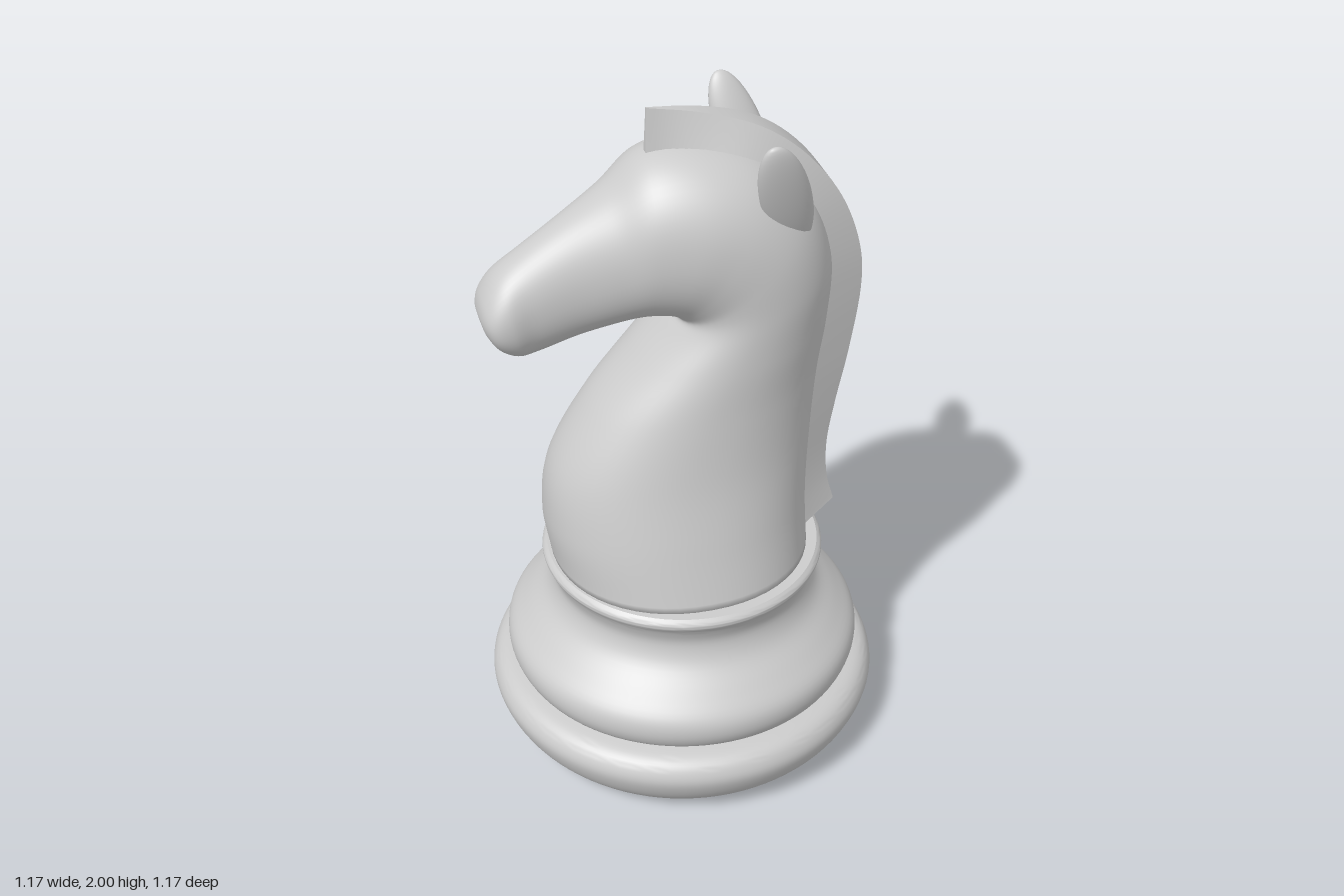
import * as THREE from 'three';
import { toCreasedNormals } from 'three/addons/utils/BufferGeometryUtils.js';

const material = new THREE.MeshStandardMaterial({ color: 0xcccccc });

function addMesh(parent, name, geometry) {
  const mesh = new THREE.Mesh(geometry, material);
  mesh.name = name;
  parent.add(mesh);
  return mesh;
}

// Skin a list of closed rings (arrays of Vector3) and close both ends.
function loft(rings) {
  const n = rings[0].length, positions = [], index = [];
  rings.forEach((ring) => ring.forEach((p) => positions.push(p.x, p.y, p.z)));
  for (let i = 0; i < rings.length - 1; i++) {
    for (let j = 0; j < n; j++) {
      const a = i * n + j, b = i * n + (j + 1) % n;
      index.push(a, a + n, b, b, a + n, b + n);
    }
  }
  [0, rings.length - 1].forEach((r) => {
    const c = new THREE.Vector3();
    rings[r].forEach((p) => c.addScaledVector(p, 1 / n));
    const k = positions.length / 3;
    positions.push(c.x, c.y, c.z);
    for (let j = 0; j < n; j++) {
      const a = r * n + j, b = r * n + (j + 1) % n;
      index.push(k, ...(r === 0 ? [a, b] : [b, a]));
    }
  });
  const g = new THREE.BufferGeometry();
  g.setAttribute('position', new THREE.Float32BufferAttribute(positions, 3));
  g.setIndex(index);
  g.computeVertexNormals();
  return g;
}

// Rows are [x1, y1, w1, x2, y2, w2]: two guide curves with half widths.
function guides(rows, steps) {
  const curve = (o) => new THREE.CatmullRomCurve3(
    rows.map((r) => new THREE.Vector3(r[o], r[o + 1], r[o + 2])), false, 'catmullrom', 0.5);
  const first = curve(0), second = curve(3);
  return Array.from({ length: steps + 1 }, (_, i) => [first.getPoint(i / steps), second.getPoint(i / steps)]);
}

// Turned tier: smooth profile with flat discs closing it.
function tier(points, steps = 28) {
  const spline = new THREE.SplineCurve(points.map(([x, y]) => new THREE.Vector2(x, y))).getPoints(steps);
  const profile = [new THREE.Vector2(0, points[0][1]), ...spline, new THREE.Vector2(0, points.at(-1)[1])];
  return toCreasedNormals(new THREE.LatheGeometry(profile, 96), 0.6);
}

export function createModel() {
  const model = new THREE.Group();
  model.name = 'chessKnight';

  // Turned base
  addMesh(model, 'foot', tier([
    [0.44, 0], [0.5, 0.025], [0.555, 0.085], [0.583, 0.155], [0.573, 0.2], [0.545, 0.225], [0.5, 0.235]]));
  addMesh(model, 'waistAndCollar', tier([
    [0.49, 0.232], [0.515, 0.25], [0.53, 0.295], [0.52, 0.345], [0.47, 0.4], [0.41, 0.46],
    [0.387, 0.52], [0.398, 0.57], [0.413, 0.597], [0.413, 0.612], [0.4, 0.625]], 44));

  // Neck and head: throat-side point, then crest-side point with half width
  const bodyRows = [
    [-0.39, 0.62, 0, 0.365, 0.62, 0.37],
    [-0.41, 0.78, 0, 0.36, 0.8, 0.322],
    [-0.385, 0.95, 0, 0.37, 1.0, 0.275],
    [-0.28, 1.13, 0, 0.385, 1.2, 0.25],
    [-0.15, 1.275, 0, 0.405, 1.38, 0.244],
    [-0.06, 1.365, 0, 0.405, 1.56, 0.243],
    [-0.03, 1.395, 0, 0.34, 1.73, 0.243],
    [-0.04, 1.41, 0, 0.21, 1.85, 0.238],
    [-0.07, 1.42, 0, 0.05, 1.895, 0.225],
    [-0.13, 1.42, 0, -0.1, 1.88, 0.195],
    [-0.2, 1.405, 0, -0.21, 1.795, 0.155],
    [-0.3, 1.378, 0, -0.33, 1.715, 0.118],
    [-0.4, 1.347, 0, -0.44, 1.64, 0.105],
    [-0.46, 1.342, 0, -0.51, 1.585, 0.114],
    [-0.51, 1.37, 0, -0.548, 1.53, 0.103],
    [-0.542, 1.415, 0, -0.56, 1.485, 0.065],
    [-0.553, 1.445, 0, -0.556, 1.455, 0.008]];
  const bodyRings = guides(bodyRows, 120).map(([front, back]) =>
    Array.from({ length: 56 }, (_, j) => {
      const a = (j / 56) * Math.PI * 2;
      const round = (v) => Math.sign(v) * Math.abs(v) ** 0.94;
      const t = 0.5 + 0.5 * round(Math.cos(a));
      return new THREE.Vector3(
        front.x + (back.x - front.x) * t, front.y + (back.y - front.y) * t, back.z * round(Math.sin(a)));
    }));
  addMesh(model, 'neckAndHead', loft(bodyRings));

  // Mane: ridge with a narrow outer face and a wider root sunk in the neck
  const maneRows = [
    [0.45, 0.705, 0.06, 0.335, 0.63, 0.09],
    [0.425, 0.8, 0.06, 0.325, 0.8, 0.1],
    [0.42, 0.92, 0.06, 0.335, 0.93, 0.1],
    [0.44, 1.06, 0.06, 0.345, 1.08, 0.1],
    [0.47, 1.22, 0.06, 0.36, 1.23, 0.1],
    [0.495, 1.42, 0.06, 0.375, 1.4, 0.1],
    [0.483, 1.56, 0.06, 0.37, 1.55, 0.1],
    [0.425, 1.71, 0.058, 0.315, 1.69, 0.1],
    [0.325, 1.84, 0.052, 0.22, 1.79, 0.098],
    [0.2, 1.93, 0.04, 0.13, 1.84, 0.088],
    [0.05, 1.978, 0.022, 0.02, 1.855, 0.06],
    [-0.095, 2.0, 0.003, -0.1, 1.86, 0.012]];
  const maneRings = guides(maneRows, 66).map(([outer, root]) => [
    [outer, -outer.z], [outer, outer.z], [root, root.z], [root, -root.z],
  ].map(([p, z]) => new THREE.Vector3(p.x, p.y, z)));
  addMesh(model, 'mane', toCreasedNormals(loft(maneRings), 0.5));

  // Ears: flattened ellipsoids leaning outward, mirrored across z
  const up = new THREE.Vector3(-0.1, 0.31, 0.1).normalize();
  const across = new THREE.Vector3(1, 0, 0).addScaledVector(up, -up.x).normalize();
  const basis = new THREE.Matrix4().makeBasis(across, up, new THREE.Vector3().crossVectors(across, up));
  const earShape = new THREE.SphereGeometry(1, 32, 24).scale(0.068, 0.19, 0.034)
    .applyMatrix4(basis).translate(0.222, 1.795, 0.19);
  for (const side of [1, -1]) {
    addMesh(model, side > 0 ? 'frontEar' : 'backEar', earShape).scale.z = side;
  }

  return model;
}
